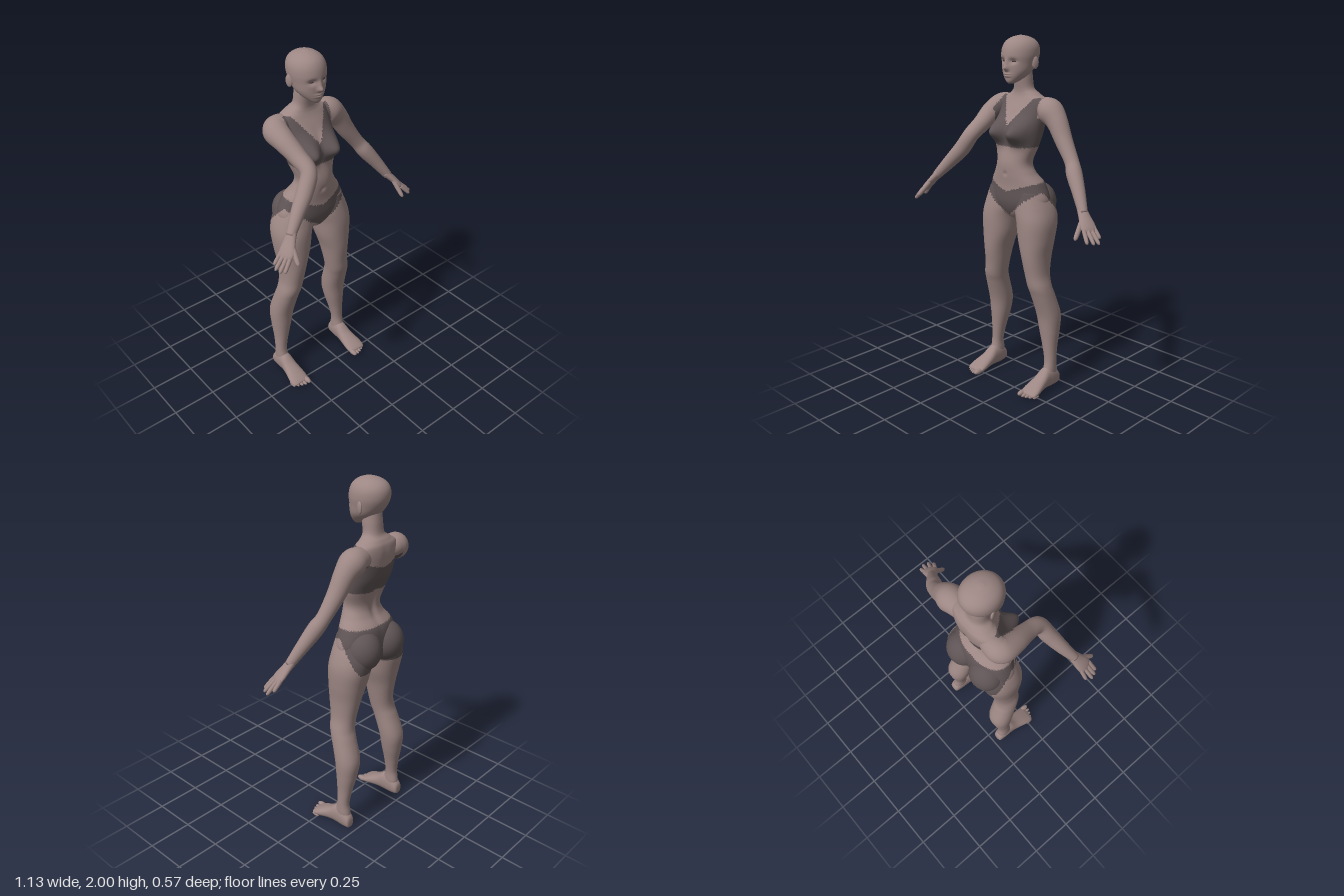
import * as THREE from 'three';

const CX = -0.085; // body axis
const skin = new THREE.MeshStandardMaterial({ color: 0x9d8784 });
skin.name = 'skin';
const cloth = new THREE.MeshStandardMaterial({ color: 0x5f5455 });
cloth.name = 'cloth';
const dark = new THREE.MeshStandardMaterial({ color: 0x4a3f40 });
dark.name = 'eyeDark';

// Catmull-Rom through rows of numbers
function smoothRows(rows, sub) {
  const out = [];
  const last = rows.length - 1;
  for (let i = 0; i < last; i++) {
    const [a, b, c, d] = [rows[Math.max(i - 1, 0)], rows[i], rows[i + 1], rows[Math.min(i + 2, last)]];
    for (let s = 0; s < sub; s++) {
      const t = s / sub;
      out.push(b.map((p, k) => p + 0.5 * t * (c[k] - a[k] + t * (2 * a[k] - 5 * p + 4 * c[k] - d[k]
        + t * (3 * (p - c[k]) + d[k] - a[k])))));
    }
  }
  out.push(rows[last]);
  return out;
}

// Closed skin over rings of points; faces where isCloth(x, y, z) holds use the cloth material
function skinRings(name, rings, isCloth) {
  const n = rings[0].length;
  const pts = rings.flat();
  for (const ring of [rings[0], rings[rings.length - 1]]) {
    pts.push(ring.reduce((s, p) => s.add(p), new THREE.Vector3()).divideScalar(n));
  }
  const tris = [];
  const top = (rings.length - 1) * n;
  for (let j = 0; j < n; j++) {
    const k = (j + 1) % n;
    for (let r = 0; r < top; r += n) tris.push([r + j, r + n + j, r + k], [r + k, r + n + j, r + n + k]);
    tris.push([pts.length - 2, j, k], [pts.length - 1, top + k, top + j]);
  }
  // turn all faces outward
  const cross = new THREE.Vector3();
  const volume = tris.reduce((s, [a, b, c]) => s + cross.crossVectors(pts[b], pts[c]).dot(pts[a]), 0);
  if (volume < 0) tris.forEach((t) => t.reverse());
  const parts = [[], []];
  for (const t of tris) {
    const c = t.reduce((s, i) => s.add(pts[i]), new THREE.Vector3()).divideScalar(3);
    parts[isCloth && isCloth(c.x, c.y, c.z) ? 1 : 0].push(...t);
  }
  const geo = new THREE.BufferGeometry().setFromPoints(pts);
  geo.setIndex([...parts[0], ...parts[1]]);
  geo.addGroup(0, parts[0].length, 0);
  geo.addGroup(parts[0].length, parts[1].length, 1);
  geo.computeVertexNormals();
  const mesh = new THREE.Mesh(geo, [skin, cloth]);
  mesh.name = name;
  return mesh;
}

// Rows [t, a0, a1, b0, b1]: a rounded section at height t (or at depth t when alongZ)
function sectionLoft(name, rows, { segs = 48, sub = 8, side = 1, alongZ = false, power = 2.2, bump, isCloth } = {}) {
  const rings = smoothRows(rows, sub).map(([t, a0, a1, b0, b1]) => Array.from({ length: segs }, (_, j) => {
    const th = (j / segs) * Math.PI * 2;
    const f = (v) => Math.sign(v) * Math.abs(v) ** (2 / power);
    const a = side * ((a0 + a1) / 2 + ((a1 - a0) / 2) * f(Math.cos(th)));
    const b = (b0 + b1) / 2 + ((b1 - b0) / 2) * f(Math.sin(th));
    const p = alongZ ? new THREE.Vector3(a, b, t) : new THREE.Vector3(a, t, b);
    if (bump) bump(p, Math.sin(th));
    return p;
  }));
  return skinRings(name, rings, isCloth);
}

// Rows [x, y, z, ru, rv]: a tapering limb along a path
function limb(name, rows, ref, segs = 32, sub = 8, isCloth) {
  const path = smoothRows(rows, sub);
  const at = (i) => new THREE.Vector3(...path[Math.min(Math.max(i, 0), path.length - 1)]);
  const rings = path.map(([x, y, z, ru, rv = ru], i) => {
    const T = at(i + 1).sub(at(i - 1)).normalize();
    const u = ref.clone().addScaledVector(T, -T.dot(ref)).normalize();
    const v = new THREE.Vector3().crossVectors(T, u);
    return Array.from({ length: segs }, (_, j) => {
      const th = (j / segs) * Math.PI * 2;
      return new THREE.Vector3(x, y, z).addScaledVector(u, ru * Math.cos(th)).addScaledVector(v, rv * Math.sin(th));
    });
  });
  return skinRings(name, rings, isCloth);
}

function ellipsoid(name, mat, pos, r) {
  const mesh = new THREE.Mesh(new THREE.SphereGeometry(1, 28, 20).scale(...r), mat);
  mesh.position.set(...pos);
  mesh.name = name;
  return mesh;
}

const hill = (d, w) => Math.exp(-((d / w) ** 2));

// Where the two-piece covers the body, relative to the body axis
function clothAt(x, y, z) {
  const ax = Math.abs(x);
  if (y < 1.3) {
    const low = Math.max(1.025 + 0.77 * ax - Math.max(0, -0.11 - z) * 1.3, 0.985);
    return y > low && y < (z > -0.12 ? 1.165 + 0.33 * ax : 1.22);
  }
  if (y < 1.415) return false;
  if (z < -0.165) return y < 1.55 + 0.3 * ax;
  return y < 1.525 + 1.45 * ax && y < 1.675 && (y < 1.57 || ax < 0.14);
}
const strapOnShoulder = (x, y, z) => z < -0.06 && Math.abs(x - CX) < 0.15 && clothAt(x - CX, y, z);

// Palm, four fingers and a thumb
function hand(name, wrist, knuckle, tips, thumbTip) {
  const g = new THREE.Group();
  g.name = name;
  const W = new THREE.Vector3(...wrist);
  const K = new THREE.Vector3(...knuckle);
  const spread = new THREE.Vector3(...tips[0]).sub(new THREE.Vector3(...tips[3])).normalize();
  const mid = (t) => W.clone().lerp(K, t).toArray();
  g.add(limb('palm', [[...mid(-0.2), 0.026, 0.023], [...mid(0.3), 0.034, 0.02], [...mid(0.75), 0.043, 0.018],
    [...mid(1.05), 0.042, 0.014], [...mid(1.2), 0.03, 0.007]], spread, 24, 5));
  const finger = (label, base, tip, r) => {
    const t = new THREE.Vector3(...tip);
    const p = (s) => base.clone().lerp(t, s).toArray();
    g.add(limb(label, [[...p(0), r], [...p(0.5), r * 0.95], [...p(0.88), r * 0.8], [...p(1), r * 0.25]], spread, 12, 4));
  };
  tips.forEach((tip, i) => finger('finger', K.clone().addScaledVector(spread, 0.032 - i * 0.0213), tip, 0.0115));
  finger('thumb', W.clone().lerp(K, 0.4).addScaledVector(spread, 0.02), thumbTip, 0.014);
  return g;
}

export function createModel() {
  const model = new THREE.Group();
  model.name = 'figure';
  const body = new THREE.Group();
  body.name = 'body';
  body.position.x = CX;
  model.add(body);

  // Torso and neck, [y, half width, back z, front z]
  const sym = (rows) => rows.map(([y, w, zb, zf]) => [y, -w, w, zb, zf]);
  body.add(sectionLoft('torso', sym([
    [1.0, 0.02, -0.18, -0.08], [1.03, 0.09, -0.23, -0.045], [1.1, 0.2, -0.24, -0.02], [1.2, 0.176, -0.23, -0.018],
    [1.27, 0.128, -0.185, -0.012], [1.33, 0.108, -0.175, -0.012], [1.42, 0.135, -0.2, -0.03],
    [1.5, 0.145, -0.235, -0.035], [1.6, 0.15, -0.248, -0.075], [1.66, 0.14, -0.245, -0.105],
    [1.69, 0.095, -0.232, -0.115], [1.72, 0.06, -0.212, -0.115], [1.78, 0.053, -0.205, -0.105], [1.83, 0.05, -0.2, -0.1],
  ]), {
    segs: 96, sub: 10, isCloth: clothAt,
    bump: (p, s) => {
      const ax = Math.abs(p.x);
      if (s > 0) p.z += 0.076 * Math.min(1, s * 1.6) * hill(ax - 0.072, 0.058) * hill(p.y - 1.495, 0.06);
      else p.z += 0.014 * hill(ax, 0.022) * hill(p.y - 1.4, 0.17); // spine furrow
      if (s > 0) p.z -= 0.007 * hill(ax, 0.012) * hill(p.y - 1.265, 0.012); // navel
    },
  }));

  // Head, shaped with nose, brow, sockets, lips and chin
  body.add(sectionLoft('head', sym([
    [1.752, 0.018, -0.085, -0.045], [1.765, 0.036, -0.115, -0.036], [1.79, 0.062, -0.16, -0.032],
    [1.82, 0.081, -0.197, -0.03], [1.86, 0.09, -0.228, -0.027], [1.9, 0.096, -0.244, -0.025],
    [1.94, 0.092, -0.243, -0.033], [1.97, 0.075, -0.225, -0.052], [1.99, 0.045, -0.19, -0.085], [2.0, 0.01, -0.145, -0.125],
  ]), {
    segs: 96, sub: 10, power: 2.05,
    bump: (p, s) => {
      if (s < 0.2) return;
      const ax = Math.abs(p.x);
      p.z += 0.022 * hill(ax, 0.013) * hill(p.y - 1.832, 0.014) + 0.012 * hill(ax, 0.011) * hill(p.y - 1.855, 0.022);
      p.z -= 0.013 * hill(ax - 0.036, 0.02) * hill(p.y - 1.87, 0.014);
      p.z += 0.007 * hill(ax, 0.022) * (hill(p.y - 1.803, 0.005) + hill(p.y - 1.791, 0.005));
    },
  }));

  for (const side of [1, -1]) {
    const word = side > 0 ? 'left' : 'right';
    const eye = ellipsoid(word + 'Eye', dark, [side * 0.037, 1.87, -0.05], [0.014, 0.005, 0.004]);
    eye.position.z = -0.0465;
    eye.rotation.y = side * 0.35;
    const ear = ellipsoid(word + 'Ear', skin, [side * 0.094, 1.86, -0.15], [0.009, 0.033, 0.02]);
    ear.rotation.y = side * -0.35;
    body.add(eye, ear);
    body.add(ellipsoid(word + 'Buttock', cloth, [side * 0.092, 1.095, -0.187], [0.101, 0.112, 0.1]));

    // Leg, [y, inner x, outer x, back z, front z]
    body.add(sectionLoft(word + 'Leg', [
      [1.17, 0.03, 0.18, -0.21, -0.035], [1.08, 0.008, 0.22, -0.25, -0.02], [1.0, 0.028, 0.238, -0.25, -0.012],
      [0.9, 0.045, 0.234, -0.228, -0.014], [0.8, 0.075, 0.222, -0.205, -0.02], [0.7, 0.095, 0.222, -0.186, -0.035],
      [0.63, 0.108, 0.237, -0.185, -0.045], [0.57, 0.116, 0.247, -0.203, -0.065], [0.45, 0.125, 0.26, -0.24, -0.102],
      [0.35, 0.142, 0.257, -0.232, -0.116], [0.25, 0.168, 0.25, -0.212, -0.125], [0.16, 0.185, 0.25, -0.2, -0.128],
      [0.09, 0.184, 0.25, -0.21, -0.115], [0.04, 0.195, 0.24, -0.2, -0.12],
    ], { side, isCloth: clothAt }));

    // Foot, [z, inner x, outer x, bottom y, top y]
    body.add(sectionLoft(word + 'Foot', [
      [-0.224, 0.205, 0.232, 0.025, 0.055], [-0.215, 0.19, 0.248, 0.008, 0.085], [-0.17, 0.181, 0.254, 0.002, 0.125],
      [-0.12, 0.178, 0.255, 0.004, 0.125], [-0.07, 0.172, 0.262, 0.006, 0.088], [-0.01, 0.165, 0.275, 0, 0.056],
      [0.025, 0.168, 0.274, 0, 0.036], [0.04, 0.18, 0.26, 0.008, 0.024],
    ], { side, alongZ: true, segs: 32, sub: 6 }));
    for (let i = 0; i < 5; i++) {
      const r = i ? 0.0115 - i * 0.0006 : 0.016;
      body.add(ellipsoid(word + 'Toe', skin, [side * (0.182 + i * 0.0205 + (i ? 0.004 : 0)), r, 0.038 - i * i * 0.0017],
        [r, r, 0.032 - i * 0.002]));
    }
  }

  // Left arm hangs out to the side
  model.add(limb('leftArm', [
    [0.0, 1.605, -0.18, 0.05], [0.05, 1.615, -0.182, 0.063], [0.095, 1.603, -0.182, 0.071], [0.145, 1.555, -0.178, 0.058],
    [0.2, 1.465, -0.17, 0.048], [0.27, 1.365, -0.155, 0.039], [0.31, 1.305, -0.132, 0.043],
    [0.37, 1.22, -0.1, 0.035], [0.43, 1.13, -0.065, 0.025],
  ], new THREE.Vector3(0, 0, 1), 40, 8, strapOnShoulder));
  model.add(hand('leftHand', [0.425, 1.137, -0.068], [0.49, 1.065, -0.04],
    [[0.53, 1.005, 0.018], [0.555, 1.003, -0.005], [0.565, 1.0, -0.035], [0.545, 1.02, -0.065]], [0.462, 1.015, 0.035]));

  // Right arm reaches forward and bends at the elbow
  model.add(limb('rightArm', [
    [-0.17, 1.605, -0.18, 0.05], [-0.22, 1.615, -0.182, 0.063], [-0.258, 1.605, -0.165, 0.07], [-0.263, 1.578, -0.09, 0.058],
    [-0.25, 1.525, 0.0, 0.048], [-0.248, 1.475, 0.08, 0.043], [-0.295, 1.395, 0.108, 0.044],
    [-0.37, 1.31, 0.14, 0.036], [-0.44, 1.23, 0.175, 0.025],
  ], new THREE.Vector3(1, -1, 0).normalize(), 40, 8, strapOnShoulder));
  model.add(hand('rightHand', [-0.435, 1.235, 0.173], [-0.495, 1.158, 0.205],
    [[-0.54, 1.092, 0.252], [-0.556, 1.09, 0.232], [-0.565, 1.095, 0.206], [-0.548, 1.105, 0.175]], [-0.477, 1.125, 0.283]));

  return model;
}
